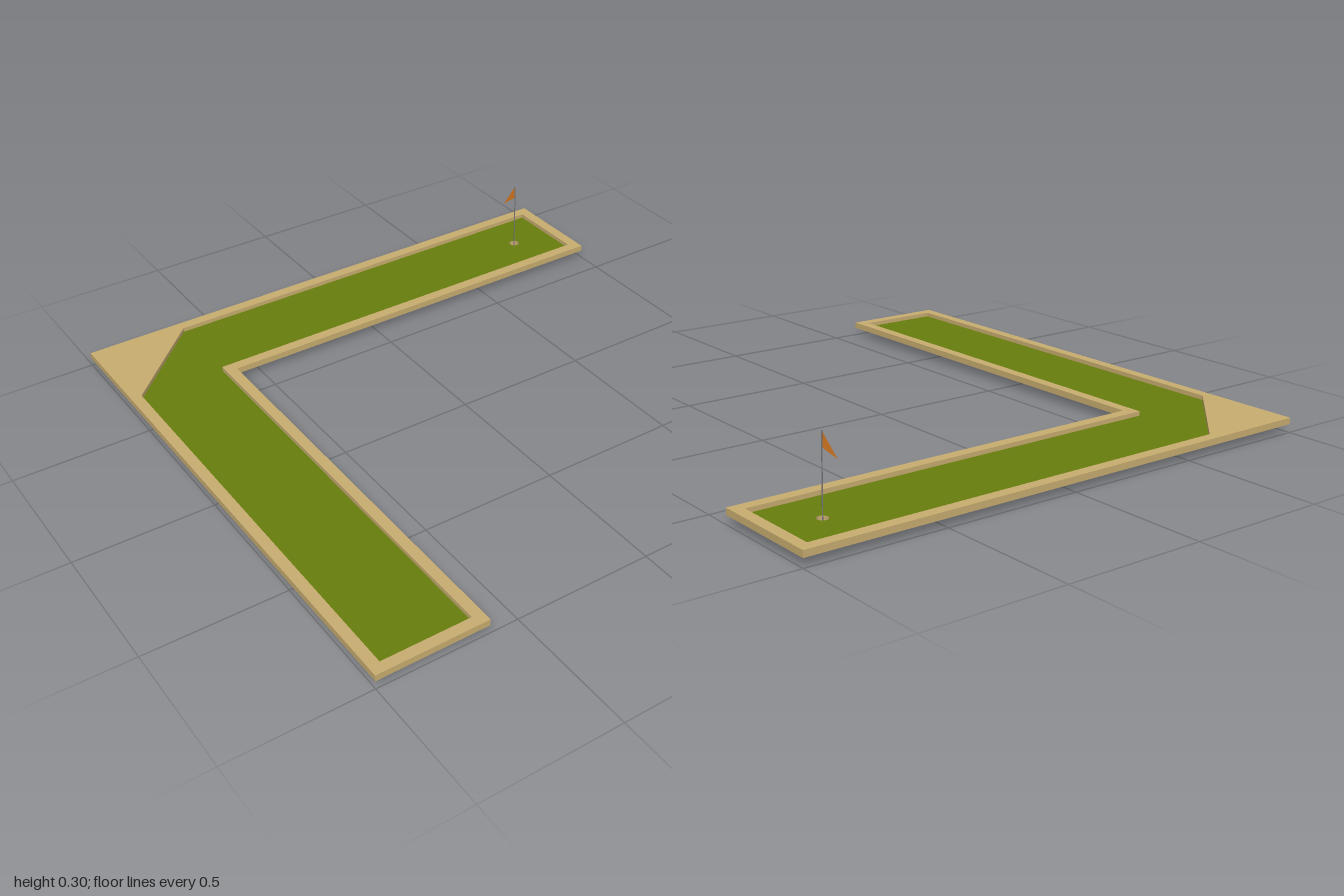
import * as THREE from 'three';

const mat = (name, color, side = THREE.FrontSide) => {
  const m = new THREE.MeshStandardMaterial({ color, side });
  m.name = name;
  return m;
};

const points = (list) => list.map(([x, z]) => new THREE.Vector2(x, z));

export function createModel() {
  const group = new THREE.Group();
  const wood = mat('wood', 0xc8ad70, THREE.DoubleSide);
  const turf = mat('turf', 0x687d0e, THREE.DoubleSide);
  const steel = mat('steel', 0x77787a);
  const orange = mat('orange', 0xc8701c, THREE.DoubleSide);

  const add = (name, geometry, material, x = 0, y = 0, z = 0) => {
    const mesh = new THREE.Mesh(geometry, material);
    mesh.name = name;
    mesh.position.set(x, y, z);
    group.add(mesh);
    return mesh;
  };

  // Plan shapes are drawn in x and z, then laid flat with their top at y
  const slab = (shape, top, depth) => new THREE.ExtrudeGeometry(shape, { depth, bevelEnabled: false })
    .rotateX(Math.PI / 2).translate(0, top, 0);

  const outer = points([[-1, -1], [1, -1], [1, -0.6], [-0.6, -0.6], [-0.6, 1], [-1, 1]]);
  const inner = points([[-0.96, -0.96], [0.96, -0.96], [0.96, -0.64], [-0.64, -0.64], [-0.64, 0.96], [-0.96, 0.96]]);
  const hole = { x: 0.8, z: -0.8, r: 0.021, sides: 8 };
  const top = 0.053, floor = 0.037;

  // Border walls around the L-shaped lane
  const border = new THREE.Shape(outer);
  border.holes.push(new THREE.Path(inner));
  add('border', slab(border, top, top - 0.03), wood);

  // Diagonal bank at the bend
  const bank = new THREE.Shape(points([[-0.96, -0.96], [-0.64, -0.96], [-0.96, -0.64]]));
  add('cornerBank', slab(bank, top, top - floor), wood);

  // Playing surface with the cup opening
  const lane = new THREE.Shape(inner);
  const rim = [];
  for (let i = 0; i < hole.sides; i++) {
    const a = (i / hole.sides) * Math.PI * 2;
    rim.push([hole.x + hole.r * Math.sin(a), hole.z + hole.r * Math.cos(a)]);
  }
  lane.holes.push(new THREE.Path(points(rim)));
  add('turf', new THREE.ShapeGeometry(lane).rotateX(Math.PI / 2), turf, 0, floor, 0);

  // Cup below the surface, open at the top
  add('cupWall', new THREE.CylinderGeometry(hole.r, hole.r, floor, hole.sides, 1, true), wood, hole.x, floor / 2, hole.z);
  add('cupBase', new THREE.CircleGeometry(hole.r, hole.sides).rotateX(Math.PI / 2), wood, hole.x, 0, hole.z);
  add('cupFloor', new THREE.CircleGeometry(hole.r * 0.98, hole.sides).rotateX(-Math.PI / 2), turf, hole.x, 0.003, hole.z);

  // Flagstick and pennant
  add('flagPole', new THREE.CylinderGeometry(0.002, 0.002, 0.297, 8), steel, hole.x, 0.1515, hole.z);
  const pennant = new THREE.BufferGeometry();
  pennant.setAttribute('position', new THREE.Float32BufferAttribute(
    [0, 0.3, 0, -0.03, 0.217, -0.035, 0, 0.25, 0], 3));
  pennant.computeVertexNormals();
  add('flag', pennant, orange, hole.x, 0, hole.z);

  return group;
}
